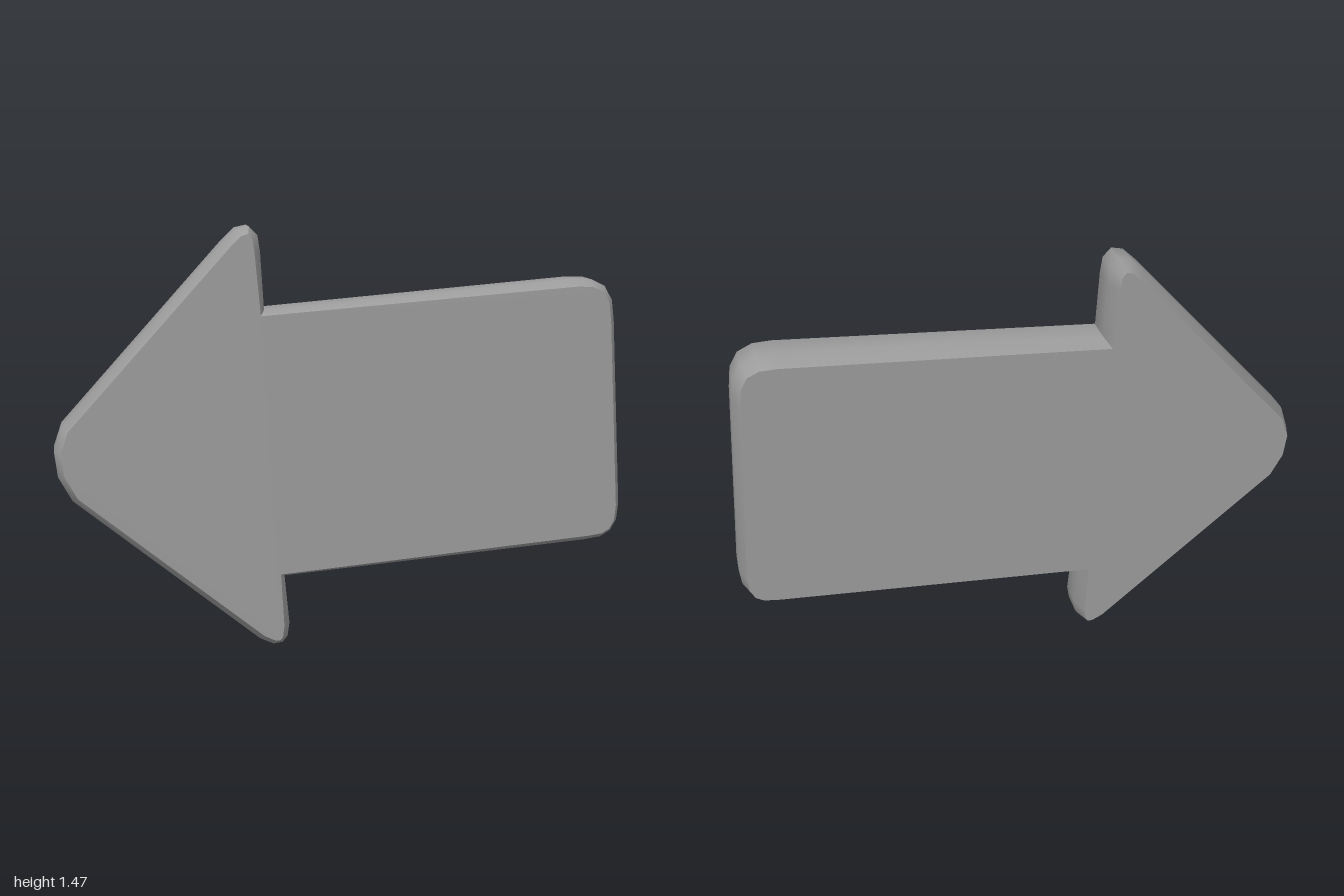
import * as THREE from 'three';
import { toCreasedNormals } from 'three/addons/utils/BufferGeometryUtils.js';

// Arrow outline, clockwise from the top barb; reversed to counter-clockwise
const OUTLINE = [
  // top barb and notch
  [-0.42, 1.415], [-0.375, 1.457], [-0.335, 1.465], [-0.307, 1.435], [-0.299, 1.38], [-0.288, 1.187],
  // shaft, rounded at both outer corners
  [0.8, 1.268], [0.865, 1.266], [0.915, 1.242], [0.944, 1.192], [0.954, 1.12],
  [1.0, 0.45], [0.994, 0.39], [0.972, 0.35], [0.935, 0.328], [0.875, 0.32],
  // notch and bottom barb
  [-0.227, 0.25], [-0.211, 0.075], [-0.218, 0.027], [-0.236, 0.004], [-0.268, 0], [-0.316, 0.023],
  // blunt point
  [-0.945, 0.555], [-0.99, 0.64], [-1.0, 0.73], [-0.972, 0.81],
].map(([x, y]) => new THREE.Vector2(x, y)).reverse();

// Move every corner of a counter-clockwise loop inward by d along its bisector
function inset(loop, d) {
  const n = loop.length;
  const normal = (a, b) => new THREE.Vector2(a.y - b.y, b.x - a.x).normalize();
  return loop.map((p, i) => {
    const bisector = normal(loop[(i + n - 1) % n], p)
      .add(normal(p, loop[(i + 1) % n]))
      .normalize();
    return p.clone().addScaledVector(bisector, d);
  });
}

export function createModel() {
  // Cross-sections from back to front: [z, inset]
  const sections = [[-0.095, 0.023], [-0.03, 0], [0.06, 0], [0.095, 0.023]];
  const n = OUTLINE.length;
  const positions = [];
  const index = [];

  for (const [z, d] of sections) {
    for (const p of inset(OUTLINE, d)) positions.push(p.x, p.y, z);
  }

  // Rim with bevelled edges
  for (let s = 0; s < sections.length - 1; s++) {
    for (let i = 0; i < n; i++) {
      const a = s * n + i;
      const b = s * n + (i + 1) % n;
      index.push(a, b, b + n, a, b + n, a + n);
    }
  }

  // Flat front and back faces
  const front = (sections.length - 1) * n;
  for (const [a, b, c] of THREE.ShapeUtils.triangulateShape(inset(OUTLINE, 0.023), [])) {
    index.push(front + a, front + b, front + c, a, c, b);
  }

  const geometry = new THREE.BufferGeometry();
  geometry.setAttribute('position', new THREE.Float32BufferAttribute(positions, 3));
  geometry.setIndex(index);

  const arrow = new THREE.Mesh(
    toCreasedNormals(geometry, THREE.MathUtils.degToRad(48)),
    new THREE.MeshStandardMaterial({ color: 0x9b9b9b })
  );
  arrow.name = 'arrowPlate';

  const group = new THREE.Group();
  group.name = 'arrowSign';
  group.add(arrow);
  return group;
}
